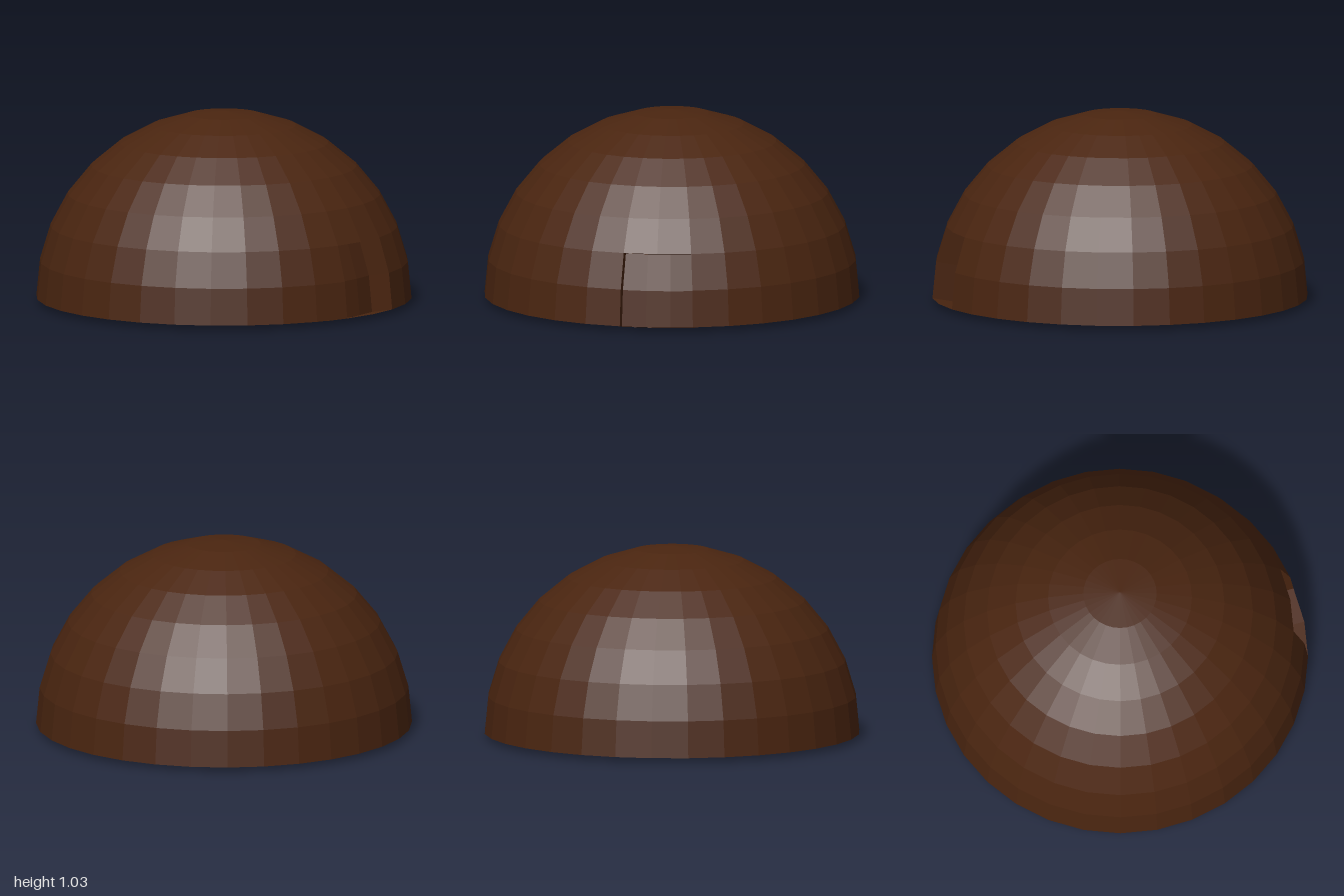
import * as THREE from 'three';

const SIDES = 32, RINGS = 8, STEP = Math.PI / 16, BASE = 0.027;
// Recess direction: inward along the normal at the middle of the door patch
const INSET = new THREE.Vector3(0, -Math.sin(STEP), -Math.cos(STEP)).multiplyScalar(0.138);

export function createModel() {
  const group = new THREE.Group();
  const material = new THREE.MeshStandardMaterial({ color: 0x4a2510, flatShading: true, side: THREE.DoubleSide });

  const add = (name, geometry) => {
    const mesh = new THREE.Mesh(geometry, material);
    mesh.name = name;
    mesh.position.y = BASE;
    group.add(mesh);
    return mesh;
  };

  // Dome shell: full cap above the doorway, and a lower band with a gap at the front
  add('domeCap', new THREE.SphereGeometry(1, SIDES, RINGS - 2, 0, Math.PI * 2, 0, 6 * STEP));
  add('domeBand', new THREE.SphereGeometry(1, SIDES - 2, 2,
    Math.PI / 2 + STEP, Math.PI * 2 - 2 * STEP, 6 * STEP, 2 * STEP));

  // Door panel: the missing patch, pushed inward
  const door = add('doorPanel', new THREE.SphereGeometry(1, 2, 2,
    Math.PI / 2 - STEP, 2 * STEP, 6 * STEP, 2 * STEP));
  door.position.add(INSET);

  // Door frame: walls joining the outline of the gap to the panel
  const outline = [[-1, 0], [0, 0], [1, 0], [1, 1], [1, 2], [0, 2], [-1, 2], [-1, 1]].map(([u, v]) =>
    new THREE.Vector3().setFromSphericalCoords(1, Math.PI / 2 - v * STEP, u * STEP));
  const positions = [];
  outline.forEach((a, i) => {
    const b = outline[(i + 1) % outline.length];
    const c = b.clone().add(INSET), d = a.clone().add(INSET);
    for (const p of [a, b, c, a, c, d]) positions.push(p.x, p.y, p.z);
  });
  const frame = new THREE.BufferGeometry();
  frame.setAttribute('position', new THREE.Float32BufferAttribute(positions, 3));
  frame.computeVertexNormals();
  add('doorFrame', frame);

  return group;
}
